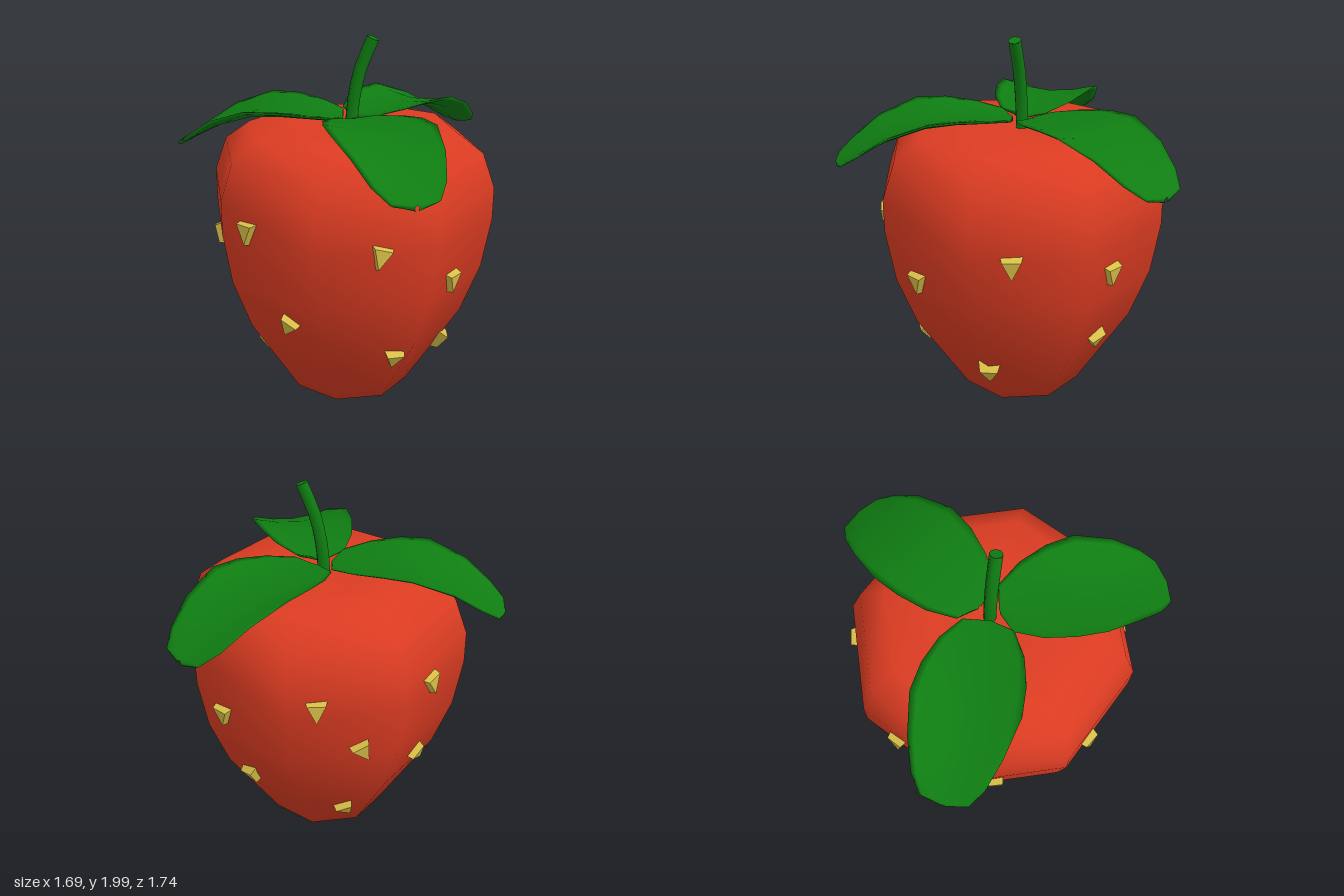
import * as THREE from 'three';

const mat = (name, color) => {
  const m = new THREE.MeshStandardMaterial({ color });
  m.name = name;
  return m;
};

// Fruit profile: radius, height
const PROFILE = [[0, 0], [0.33, 0.08], [0.61, 0.53], [0.71, 0.8], [0.755, 1.07],
  [0.755, 1.24], [0.69, 1.42], [0.55, 1.52], [0.3, 1.535], [0, 1.51]];
const CENTRE = [0.09, 0.04];

// Leaf stations: distance from stem, half width, midrib height, rise of the edges
const LEAF = [[0.04, 0.01, 1.56, 0], [0.07, 0.13, 1.565, 0.02], [0.2, 0.21, 1.575, 0.035],
  [0.35, 0.255, 1.58, 0.05], [0.5, 0.27, 1.57, 0.06], [0.7, 0.23, 1.51, 0.05],
  [0.84, 0.18, 1.44, 0.025], [0.92, 0.12, 1.395, 0.01], [0.94, 0.01, 1.385, 0]];

function leafGeometry() {
  const n = 12, pos = [], idx = [];
  for (const [d, half, y, rise] of LEAF) {
    for (let j = 0; j < n; j++) {
      const a = (j / n) * Math.PI * 2, t = Math.cos(a);
      pos.push(half * t, y + rise * t * t + 0.014 * Math.sin(a), d);
    }
  }
  for (let i = 0; i < LEAF.length - 1; i++) {
    for (let j = 0; j < n; j++) {
      const a = i * n + j, b = i * n + (j + 1) % n;
      idx.push(a, b, a + n, b, b + n, a + n);
    }
  }
  const g = new THREE.BufferGeometry();
  g.setAttribute('position', new THREE.Float32BufferAttribute(pos, 3));
  g.setIndex(idx);
  g.computeVertexNormals();
  return g;
}

// Point and downward tilt on the eight-sided fruit surface
function surfaceAt(azimuth, y) {
  const i = PROFILE.findIndex((p, k) => k > 0 && p[1] >= y);
  const [r0, y0] = PROFILE[i - 1], [r1, y1] = PROFILE[i];
  const r = r0 + (r1 - r0) * (y - y0) / (y1 - y0);
  const eighth = Math.PI / 4;
  const off = ((azimuth % eighth) + eighth) % eighth - eighth / 2;
  return {
    r: r * Math.cos(eighth / 2) / Math.cos(off),
    tilt: Math.atan2(r1 - r0, y1 - y0),
    facing: azimuth - off,
  };
}

// Seeds: azimuth from the front, height, twist (degrees)
const SEEDS = [[-32, 1.13, 0], [24, 1.08, -15], [-74, 0.96, 15], [60, 0.86, 0],
  [-17, 0.64, -28], [37, 0.44, -4], [-63, 0.36, 8], [90, 0.36, 0],
  [105, 1.06, 0], [147, 0.95, 0], [150, 0.52, 15], [191, 1.13, 0],
  [242, 1.13, 10], [210, 0.85, 28], [247, 0.62, 40], [208, 0.29, 28]];

export function createModel() {
  const model = new THREE.Group();
  model.name = 'strawberry';
  const red = mat('fruit red', 0xdc3c22);
  const green = mat('leaf green', 0x0f7d12);
  const yellow = mat('seed yellow', 0xd8bf48);
  const add = (name, geometry, material, parent = model) => {
    const mesh = new THREE.Mesh(geometry, material);
    mesh.name = name;
    parent.add(mesh);
    return mesh;
  };

  // Fruit
  const fruit = add('fruit',
    new THREE.LatheGeometry(PROFILE.map(([r, y]) => new THREE.Vector2(r, y)), 8), red);
  fruit.position.set(CENTRE[0], 0, CENTRE[1]);

  // Three cupped leaves
  const leafGeo = leafGeometry();
  for (const deg of [30, 150, 270]) {
    const leaf = add('leaf', leafGeo, green);
    leaf.position.set(CENTRE[0], 0, deg === 150 ? 0.01 : CENTRE[1]);
    leaf.rotation.y = THREE.MathUtils.degToRad(deg);
  }

  // Stem with a flat cut end
  const path = new THREE.CatmullRomCurve3([
    new THREE.Vector3(0.09, 1.5, 0.03), new THREE.Vector3(0.1, 1.65, 0.03),
    new THREE.Vector3(0.135, 1.82, 0.03), new THREE.Vector3(0.2, 1.98, 0.03)]);
  add('stem', new THREE.TubeGeometry(path, 6, 0.033, 8), green);
  const cut = add('stemEnd', new THREE.CircleGeometry(0.033, 8), green);
  cut.position.copy(path.getPoint(1));
  cut.quaternion.setFromUnitVectors(new THREE.Vector3(0, 0, 1), path.getTangent(1));

  // Seeds: tapered three-sided studs pointing down
  const seedGeo = new THREE.CylinderGeometry(0.058, 0.078, 0.07, 3)
    .rotateX(Math.PI / 2).scale(0.9, 1.15, 1).toNonIndexed();
  seedGeo.computeVertexNormals();
  const seeds = new THREE.Group();
  seeds.name = 'seeds';
  model.add(seeds);
  for (const [deg, y, twist] of SEEDS) {
    const az = THREE.MathUtils.degToRad(deg);
    const { r, tilt, facing } = surfaceAt(az, y);
    const seed = add('seed', seedGeo, yellow, seeds);
    seed.position.set(CENTRE[0] + r * Math.sin(az), y, CENTRE[1] + r * Math.cos(az));
    seed.rotation.set(tilt, (az + facing) / 2, THREE.MathUtils.degToRad(twist), 'YXZ');
  }
  return model;
}
